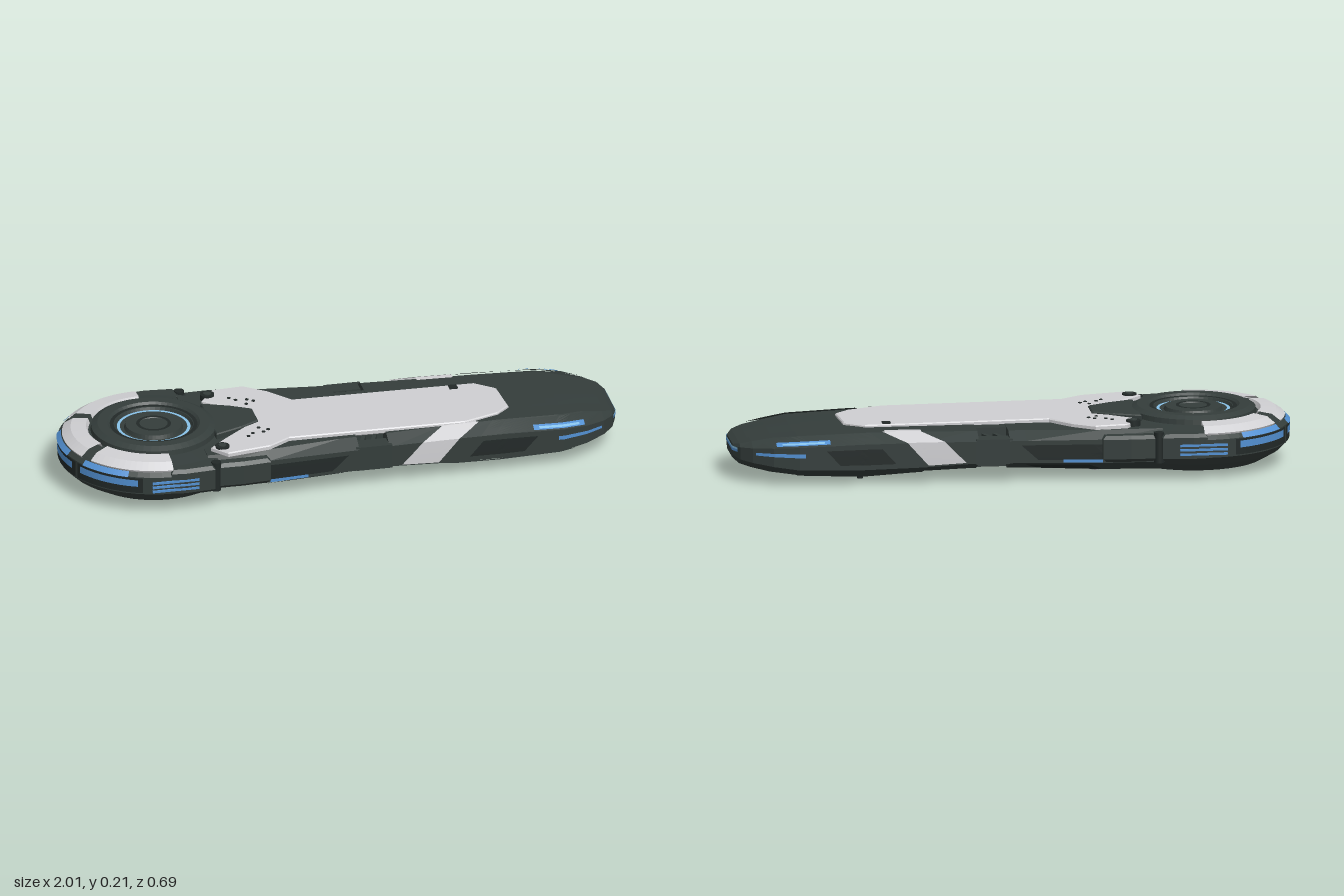
import * as THREE from 'three';

const mat = (name, color) => {
  const m = new THREE.MeshStandardMaterial({ color, side: THREE.DoubleSide });
  m.name = name;
  return m;
};
const HEAD_X = -0.66;

// body stations: x, half width, top half width, bottom half width, y: bottom, lower side, upper side, top
const STATIONS = [
  [-0.52, 0.29, 0.25, 0.20, 0.020, 0.065, 0.150, 0.178],
  [-0.30, 0.285, 0.25, 0.20, 0.024, 0.065, 0.150, 0.178],
  [-0.03, 0.272, 0.22, 0.18, 0.033, 0.070, 0.150, 0.178],
  [0.16, 0.262, 0.21, 0.17, 0.034, 0.070, 0.150, 0.178],
  [0.34, 0.255, 0.20, 0.16, 0.026, 0.060, 0.150, 0.178],
  [0.55, 0.250, 0.19, 0.14, 0.008, 0.055, 0.148, 0.178],
  [0.78, 0.248, 0.18, 0.12, 0.016, 0.060, 0.142, 0.170],
  [0.87, 0.225, 0.15, 0.12, 0.030, 0.070, 0.137, 0.160],
  [0.94, 0.185, 0.14, 0.11, 0.047, 0.078, 0.131, 0.147],
  [0.98, 0.140, 0.12, 0.10, 0.060, 0.082, 0.126, 0.136],
  [1.00, 0.090, 0.08, 0.07, 0.075, 0.088, 0.120, 0.126],
];

function section(x) {
  let i = 0;
  while (i < STATIONS.length - 2 && x > STATIONS[i + 1][0]) i++;
  const a = STATIONS[i], b = STATIONS[i + 1], t = (x - a[0]) / (b[0] - a[0]);
  const [, w, tw, bw, yb, lo, hi, yt] = a.map((v, k) => v + (b[k] - v) * t);
  return [[w, lo], [w, hi], [tw, yt], [-tw, yt], [-w, hi], [-w, lo], [-bw, yb], [bw, yb]]
    .map(([z, y]) => new THREE.Vector3(x, y, z));
}

// flat-shaded skin through rings of equal length
function loft(rings, closed = true) {
  const pos = [], n = rings[0].length;
  const tri = (...p) => p.forEach(v => pos.push(v.x, v.y, v.z));
  for (let i = 0; i < rings.length - 1; i++) {
    for (let j = 0; j < (closed ? n : n - 1); j++) {
      const k = (j + 1) % n, A = rings[i], B = rings[i + 1];
      tri(A[j], B[j], B[k]);
      tri(A[j], B[k], A[k]);
    }
  }
  if (closed) {
    const s = rings[0], e = rings[rings.length - 1];
    for (let j = 1; j < n - 1; j++) {
      tri(s[0], s[j], s[j + 1]);
      tri(e[0], e[j + 1], e[j]);
    }
  }
  const g = new THREE.BufferGeometry();
  g.setAttribute('position', new THREE.Float32BufferAttribute(pos, 3));
  g.computeVertexNormals();
  return g;
}

const bodyLoft = (x0, x1) => loft(
  [x0, ...STATIONS.map(s => s[0]).filter(x => x > x0 + 1e-4 && x < x1 - 1e-4), x1].map(section));

// thin plate following the body skin; s counts along the eight section edges
function skinPatch(x0, x1, s0, s1, lift = 0.005, shear = 0) {
  const rings = [], n = 19;
  for (let i = 0; i <= 8; i++) {
    const ring = [];
    for (let j = 0; j <= n; j++) {
      const s = s0 + (s1 - s0) * j / n, x = x0 + (x1 - x0) * i / 8 + shear * (j / n - 0.5);
      const sec = section(Math.min(x, 0.999)), k = Math.floor(s);
      const p = sec[((k % 8) + 8) % 8].clone().lerp(sec[(((k + 1) % 8) + 8) % 8], s - k);
      const out = new THREE.Vector3(0, (p.y - 0.1) * 2, p.z).normalize();
      ring.push(p.addScaledVector(out, lift));
    }
    rings.push(ring);
  }
  return loft(rings, false);
}

function lathe(points, segments = 48, start = 0, length = Math.PI * 2) {
  const g = new THREE.LatheGeometry(points.map(p => new THREE.Vector2(...p)), segments, start, length).toNonIndexed();
  g.computeVertexNormals();
  return g;
}

// horizontal slab from an x,z outline; its top lies at y = 0
function slab(points, depth, bevel = 0.004) {
  const shape = new THREE.Shape(points.map(p => new THREE.Vector2(...p)));
  return new THREE.ExtrudeGeometry(shape, {
    depth: depth - 2 * bevel, bevelEnabled: true, bevelThickness: bevel, bevelSize: bevel,
    bevelOffset: -bevel, bevelSegments: 1,
  }).rotateX(Math.PI / 2).translate(0, -bevel, 0);
}

export function createModel() {
  const model = new THREE.Group();
  model.name = 'device';
  const dark = mat('dark shell', 0x343d3b), black = mat('black recess', 0x222928);
  const light = mat('light grey plate', 0xcfcfd2);
  const blue = mat('blue light', 0x5290d2), pale = mat('pale blue light', 0x8cc8f0);
  const add = (name, geo, m, x = 0, y = 0, z = 0) => {
    const mesh = new THREE.Mesh(geo, m);
    mesh.name = name;
    mesh.position.set(x, y, z);
    model.add(mesh);
    return mesh;
  };
  const box = (name, m, w, h, d, x, y, z) => add(name, new THREE.BoxGeometry(w, h, d), m, x, y, z);

  // body, with an open slot on each side between core and rail
  add('frontBody', bodyLoft(-0.52, 0.03), dark);
  add('tailBody', bodyLoft(0.14, 1), dark);
  box('bodyCore', dark, 0.13, 0.142, 0.31, 0.085, 0.105, 0);
  for (const s of [1, -1]) {
    box('sideRail', dark, 0.13, 0.09, 0.06, 0.085, 0.112, s * 0.236);
    for (const x of [0.062, 0.102]) {
      box('slotSlat', dark, 0.014, 0.05, 0.07, x, 0.13, s * 0.18).rotation.y = -s * 0.35;
    }
  }

  // skin details, mirrored to both sides
  const patches = [
    ['sideClip', light, 0.265, 0.40, 0.1, 2.0, 0.008, 0.16],
    ['clipReturn', light, 0.34, 0.47, 2, 2.06, 0.007, 0],
    ['upperArmour', dark, 0.5, 0.9, 1.05, 1.9, 0.008, 0.05],
    ['tailLight', blue, 0.67, 0.86, 1.12, 1.46, 0.012, 0],
    ['tailLightCore', pale, 0.69, 0.84, 1.2, 1.34, 0.014, 0],
    ['tailSideLight', blue, 0.76, 0.93, 0.55, 0.72, 0.005, 0],
    ['sideRecess', black, -0.45, -0.04, 0.15, 0.8, 0.003, 0.06],
    ['sideLight', blue, -0.30, -0.16, 0.05, 0.18, 0.006, 0],
    ['sideRecess', black, 0.46, 0.66, 0.2, 0.8, 0.003, 0.05],
    ['lowerArmour', dark, 0.35, 0.8, 7.2, 7.9, 0.007, 0.05],
    ['lowerRecess', black, -0.28, -0.05, 7.2, 7.8, 0.004, 0.05],
  ];
  for (const [name, m, x0, x1, s0, s1, lift, shear] of patches) {
    add(name, skinPatch(x0, x1, s0, s1, lift, shear), m);
    add(name, skinPatch(x0, x1, 5 - s1, 5 - s0, lift, -shear), m);
  }
  add('tailDeck', skinPatch(0.63, 0.95, 2.2, 2.8, 0.006), dark);
  add('bellyPanel', skinPatch(0.2, 0.85, 6.15, 6.85, 0.005), dark);
  // glowing strip across the tail tip
  const tipLight = (name, m, y0, y1) => add(name, loft([y0, y1].map(y =>
    [[0.988, -0.125], [1.003, -0.088], [1.003, 0.088], [0.988, 0.125]]
      .map(([x, z]) => new THREE.Vector3(x, y, z))), false), m);
  tipLight('tipLight', blue, 0.106, 0.115);
  tipLight('tipLightCore', pale, 0.115, 0.122);

  // top plate
  add('topPlate', slab([[-0.395, -0.24], [-0.28, -0.25], [-0.2, -0.19], [-0.13, -0.107], [0.53, -0.107],
    [0.6, -0.05], [0.61, 0.1], [0.56, 0.15], [0.43, 0.198], [-0.21, 0.198], [-0.29, 0.25], [-0.45, 0.28],
    [-0.5, 0.22], [-0.44, 0.16], [-0.35, 0.08], [-0.31, 0], [-0.35, -0.08], [-0.45, -0.16]], 0.02),
  light, 0, 0.191, 0).rotation.z = -0.008;
  for (const [x, z] of [[-0.42, -0.2], [-0.46, 0.225]]) {
    add('plateBolt', new THREE.CylinderGeometry(0.026, 0.026, 0.02, 16), black, x, 0.19, z);
    add('boltCap', new THREE.CylinderGeometry(0.014, 0.014, 0.024, 12), dark, x, 0.191, z);
  }
  for (const s of [1, -1]) {
    for (const [x, z] of [[-0.30, 0.10], [-0.27, 0.12], [-0.29, 0.135], [-0.33, 0.14], [-0.35, 0.16]]) {
      add('plateVent', new THREE.CylinderGeometry(0.007, 0.007, 0.004, 6), black, x, 0.194, s * z);
    }
  }
  box('plateNotch', black, 0.03, 0.008, 0.03, 0.45, 0.187, -0.085);

  // round head
  add('head', lathe([[0, 0.03], [0.12, 0.03], [0.2, 0.016], [0.25, 0.02], [0.31, 0.055], [0.34, 0.085],
    [0.34, 0.15], [0.315, 0.17], [0.22, 0.18], [0, 0.18]]), dark, HEAD_X);
  add('turntable', lathe([[0.225, 0.17], [0.222, 0.198], [0.2, 0.209], [0.165, 0.209], [0.155, 0.2],
    [0.14, 0.2], [0.135, 0.188], [0.105, 0.188], [0.1, 0.202], [0.06, 0.202], [0.055, 0.197], [0, 0.197]]), dark, HEAD_X);
  const flatRing = (name, m, r0, r1, y, up) => add(name,
    new THREE.RingGeometry(r0, r1, 48).rotateX(-up * Math.PI / 2), m, HEAD_X, y, 0);
  flatRing('turntableGroove', black, 0.142, 0.156, 0.2015, 1);
  flatRing('hubGroove', black, 0.05, 0.062, 0.2035, 1);
  flatRing('glowRing', pale, 0.12, 0.131, 0.192, 1);
  flatRing('lowerGlowRing', pale, 0.112, 0.125, 0.027, -1);
  add('lowerRing', lathe([[0.15, 0.03], [0.155, 0.012], [0.19, 0.01], [0.21, 0.025]]), black, HEAD_X);
  add('lowerHub', new THREE.CylinderGeometry(0.08, 0.07, 0.02, 32), dark, HEAD_X, 0.027, 0);

  // sloping grey head guards and rim lights, angles in degrees from the nose
  const arc = (name, m, profile, a0, a1) => add(name,
    lathe(profile, 14, (270 + a0) * Math.PI / 180, (a1 - a0) * Math.PI / 180), m, HEAD_X);
  for (const [a0, a1] of [[-90, -34], [-26, 26], [34, 90]]) {
    arc('headGuard', light, [[0.322, 0.162], [0.326, 0.17], [0.295, 0.191], [0.24, 0.197], [0.232, 0.178]], a0, a1);
  }
  for (const [a0, a1] of [[-68, -28], [-20, 20], [28, 68]]) {
    arc('rimRecess', black, [[0.342, 0.09], [0.342, 0.147]], a0 - 3, a1 + 3);
    arc('rimLight', blue, [[0.344, 0.115], [0.344, 0.14]], a0, a1);
    arc('upperRimLight', blue, [[0.345, 0.15], [0.329, 0.166]], a0 + 2, a1 - 6);
  }

  // shoulders where head and body meet
  const shoulder = [[-0.68, 0.25], [-0.67, 0.338], [-0.62, 0.344], [-0.51, 0.335], [-0.5, 0.25]];
  const cheek = [[-0.5, 0.2], [-0.49, 0.31], [-0.4, 0.312], [-0.3, 0.303], [-0.29, 0.2]];
  for (const s of [1, -1]) {
    const a = add('shoulder', slab(shoulder, 0.1, 0.012), dark, 0, s > 0 ? 0.172 : 0.072, 0);
    const b = add('cheek', slab(cheek, 0.095, 0.012), dark, 0, s > 0 ? 0.165 : 0.07, 0);
    if (s < 0) a.rotation.x = b.rotation.x = Math.PI;
    add('shoulderPin', new THREE.CylinderGeometry(0.018, 0.018, 0.11, 12), black, -0.5, 0.12, s * 0.3);
    for (const y of [0.1, 0.116, 0.132]) {
      box('shoulderLight', blue, 0.17, 0.008, 0.006, -0.655, y, s * 0.342);
    }
  }
  // neck wedge behind the turntable
  add('neckWedge', slab([[-0.46, -0.13], [-0.36, -0.09], [-0.29, -0.05], [-0.29, 0.05], [-0.36, 0.09],
    [-0.46, 0.13]], 0.03), dark, 0, 0.2, 0);

  // underside plate and foot stud
  add('bellyPlate', slab([[-0.29, -0.2], [-0.18, -0.11], [-0.06, -0.03], [-0.06, 0.02], [-0.18, 0.09],
    [-0.24, 0.195], [-0.38, 0.17], [-0.37, 0.08], [-0.39, -0.02], [-0.34, -0.12]], 0.012, 0.003),
  light, 0, 0.04, 0).rotation.z = 0.03;
  add('footStud', new THREE.CylinderGeometry(0.012, 0.01, 0.03, 10), black, 0.55, 0.015, -0.13);
  return model;
}
